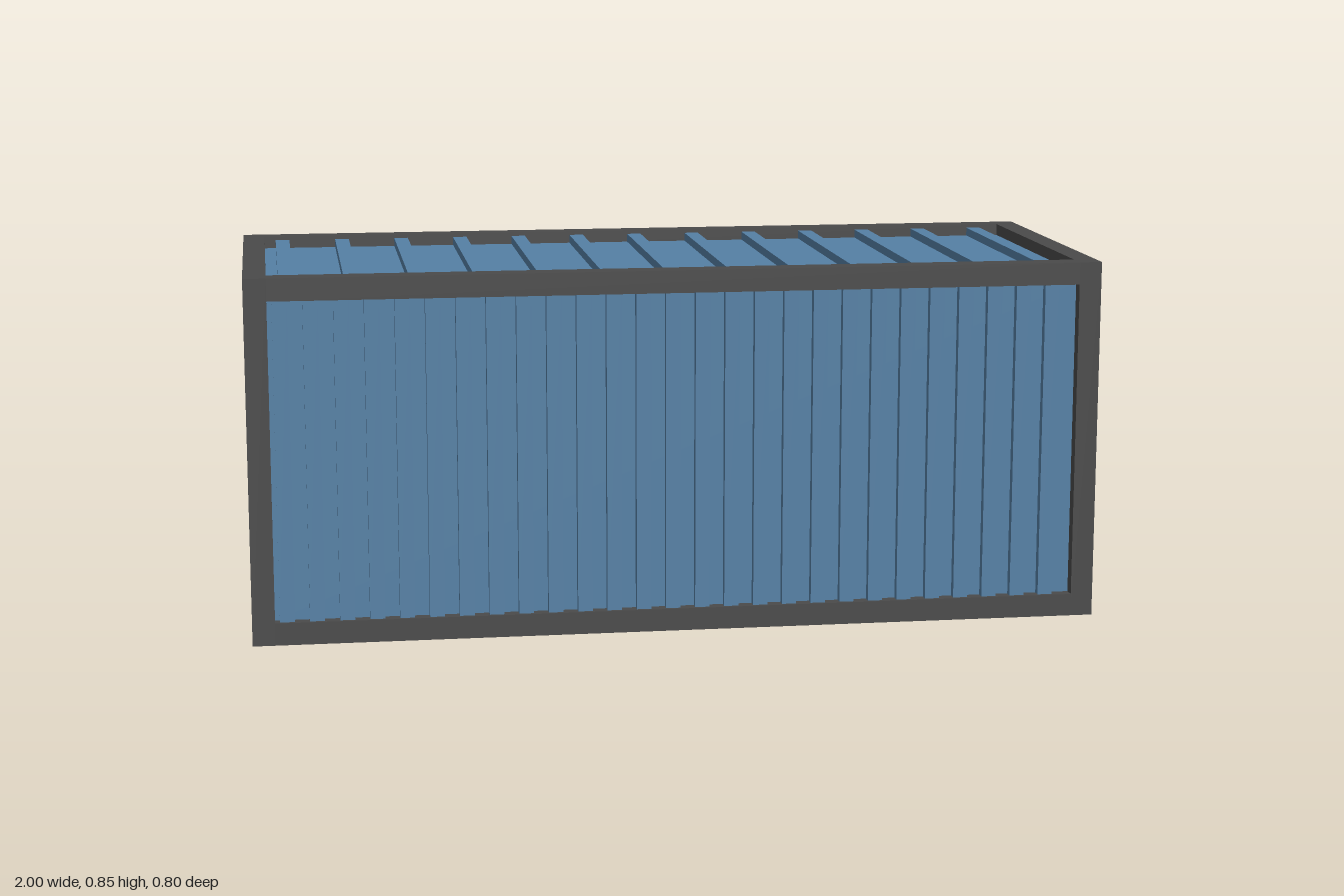
import * as THREE from 'three';

const X0 = -1, X1 = 0.975, H = 0.845, D = 0.398, B = 0.052; // outer frame and bar size
const RIB = 0.034;   // rib width
const OUT = 0.008;   // rib face below the frame face
const IN = 0.028;    // panel face below the frame face
const T = 0.01;      // panel thickness

export function createModel() {
  const root = new THREE.Group();
  root.name = 'cargoContainer';
  const blue = new THREE.MeshStandardMaterial({ color: 0x5580a5 });
  const grey = new THREE.MeshStandardMaterial({ color: 0x4a4a4a });

  const group = (name) => {
    const g = new THREE.Group();
    g.name = name;
    root.add(g);
    return g;
  };
  // Box from its minimum and maximum corners
  const box = (parent, name, mat, x0, x1, y0, y1, z0, z1) => {
    const m = new THREE.Mesh(new THREE.BoxGeometry(x1 - x0, y1 - y0, z1 - z0), mat);
    m.position.set((x0 + x1) / 2, (y0 + y1) / 2, (z0 + z1) / 2);
    m.name = name;
    parent.add(m);
    return m;
  };

  // Frame: four posts, four long rails, four cross rails
  const frame = group('frame');
  for (const z of [-D, D - B]) {
    for (const x of [X0, X1 - B]) box(frame, 'cornerPost', grey, x, x + B, 0, H, z, z + B);
    for (const y of [0, H - B]) box(frame, 'longRail', grey, X0 + B, X1 - B, y, y + B, z, z + B);
  }
  for (const x of [X0, X1 - B])
    for (const y of [0, H - B]) box(frame, 'crossRail', grey, x, x + B, y, y + B, -D + B, D - B);

  const xa = X0 + B, xb = X1 - B, ya = B, yb = H - B, zi = D - B;

  // Long side walls: flat sheet with upright ribs outside
  for (const s of [1, -1]) {
    const wall = group(s > 0 ? 'frontWall' : 'backWall');
    const slab = (name, x0, x1, a, b) =>
      box(wall, name, blue, x0, x1, ya, yb, Math.min(s * a, s * b), Math.max(s * a, s * b));
    slab('wallPanel', xa, xb, D - IN - T, D - IN);
    for (let i = 0; i < 27; i++) {
      const x = -0.92 + i * 0.0685;
      slab('wallRib', x - RIB / 2, x + RIB / 2, D - IN, D - OUT);
    }
  }

  // Closed end wall
  const end = group('endWall');
  box(end, 'endPanel', blue, X0 + IN, X0 + IN + T, ya, yb, -zi, zi);
  for (let i = 0; i < 10; i++) {
    const z = (i - 4.5) * 0.0685;
    box(end, 'endRib', blue, X0 + OUT, X0 + IN, ya, yb, z - RIB / 2, z + RIB / 2);
  }

  // Roof with cross ribs
  const roof = group('roof');
  box(roof, 'roofPanel', blue, xa, xb, H - IN - T, H - IN, -zi, zi);
  for (let i = 0; i < 13; i++) {
    const x = -0.904 + i * 0.147;
    box(roof, 'roofRib', blue, x - RIB / 2, x + RIB / 2, H - IN, H - OUT, -zi, zi);
  }

  // Double doors with centre strip, locking rods and handles
  const doors = group('doors');
  for (const s of [1, -1]) {
    box(doors, 'doorPanel', blue, X1 - 0.036, X1 - 0.016, ya, yb, s > 0 ? 0 : -zi, s > 0 ? zi : 0);
    for (const z of [0.104, 0.279]) {
      const rod = new THREE.Mesh(new THREE.CylinderGeometry(0.008, 0.008, 0.73, 12), grey);
      rod.position.set(0.976, 0.424, s * z);
      rod.name = 'lockingRod';
      doors.add(rod);
      const h = s * (z + 0.02);
      box(doors, 'doorHandle', grey, 0.98, 1, 0.335, 0.417, h - 0.008, h + 0.008);
    }
  }
  box(doors, 'centreStrip', blue, X1 - 0.03, X1 - 0.012, ya, yb, -0.026, 0.026);
  box(doors, 'doorSeal', grey, X1 - 0.03, X1 - 0.006, ya, yb, -0.004, 0.004);

  return root;
}
